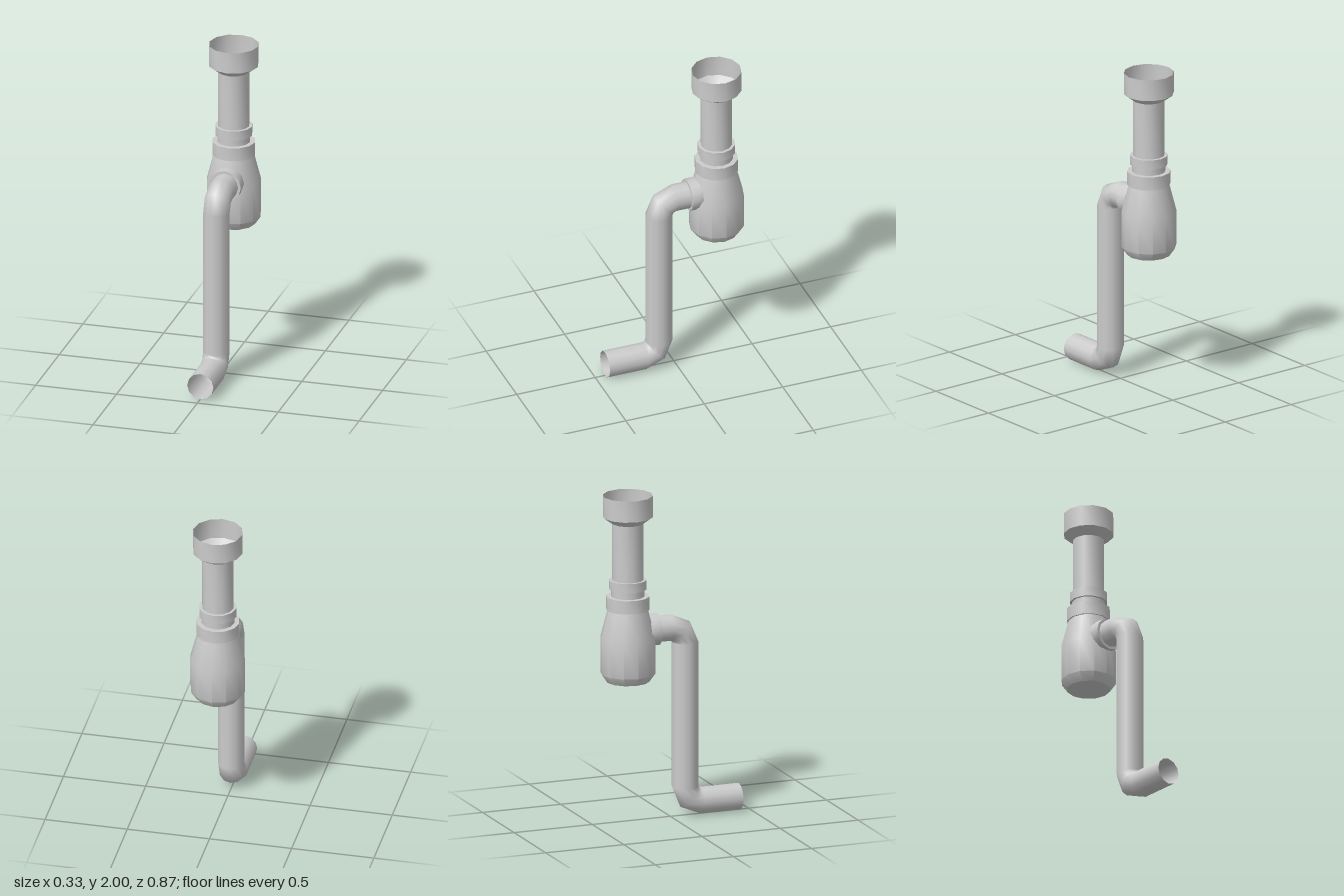
import * as THREE from 'three';
import { toCreasedNormals } from 'three/addons/utils/BufferGeometryUtils.js';

const SIDES = 12;
const AXIS_Z = -0.272; // axis of the vertical drain

export function createModel() {
  const group = new THREE.Group();
  const material = new THREE.MeshStandardMaterial({ color: 0xcccccc, side: THREE.DoubleSide });

  const add = (name, geometry) => {
    const mesh = new THREE.Mesh(geometry, material);
    mesh.name = name;
    group.add(mesh);
    return mesh;
  };

  // Turned part from [radius, height] pairs, listed bottom to top
  const turned = (name, profile) => {
    const points = profile.map(([r, y]) => new THREE.Vector2(r, y));
    const mesh = add(name, toCreasedNormals(new THREE.LatheGeometry(points, SIDES), 0.64));
    mesh.position.z = AXIS_Z;
    return mesh;
  };

  // Vertical drain: open cup, pipe, nuts and trap bottle
  turned('inletCup', [[0.095, 1.83], [0.15, 1.87], [0.15, 2]]);
  turned('inletPipe', [[0.095, 1.45], [0.095, 1.83], [0, 1.83]]);
  turned('upperNut', [[0, 1.425], [0.113, 1.425], [0.113, 1.483], [0, 1.483]]);
  turned('neck', [[0.1, 1.36], [0.1, 1.44]]);
  turned('lowerNut', [[0, 1.3], [0.13, 1.3], [0.13, 1.382], [0, 1.382]]);
  turned('trapBottle', [[0, 0.86], [0.13, 0.86], [0.165, 0.91], [0.165, 1.13], [0.12, 1.305]]);

  // Collar where the outlet leaves the bottle
  const collar = turned('outletCollar', [[0, -0.07], [0.098, -0.07], [0.098, 0], [0, 0]]);
  collar.rotation.x = Math.PI / 2;
  collar.position.set(0, 1.16, -0.085);

  // Outlet pipe: stations of [y, z, downward pitch in degrees]
  add('outletPipe', sweptPipe(0.081, [
    [1.16, -0.16, 0], [1.16, 0, 0], [1.131, 0.066, 45], [1.065, 0.095, 90],
    [0.177, 0.095, 90], [0.109, 0.122, 45], [0.081, 0.19, 0], [0.081, 0.437, 0],
  ]));

  return group;
}

// Open round pipe through stations lying in the plane x = 0
function sweptPipe(radius, stations) {
  const positions = [], normals = [], indices = [];
  stations.forEach(([y, z, pitch], i) => {
    const a = THREE.MathUtils.degToRad(pitch);
    for (let j = 0; j <= SIDES; j++) {
      const t = (j / SIDES) * Math.PI * 2;
      const n = [Math.cos(t), Math.sin(t) * Math.cos(a), Math.sin(t) * Math.sin(a)];
      normals.push(...n);
      positions.push(n[0] * radius, y + n[1] * radius, z + n[2] * radius);
      if (i > 0 && j > 0) {
        const d = i * (SIDES + 1) + j, c = d - 1;
        const b = d - SIDES - 1, e = b - 1;
        indices.push(e, b, c, b, d, c);
      }
    }
  });
  const geometry = new THREE.BufferGeometry();
  geometry.setAttribute('position', new THREE.Float32BufferAttribute(positions, 3));
  geometry.setAttribute('normal', new THREE.Float32BufferAttribute(normals, 3));
  geometry.setIndex(indices);
  return geometry;
}
